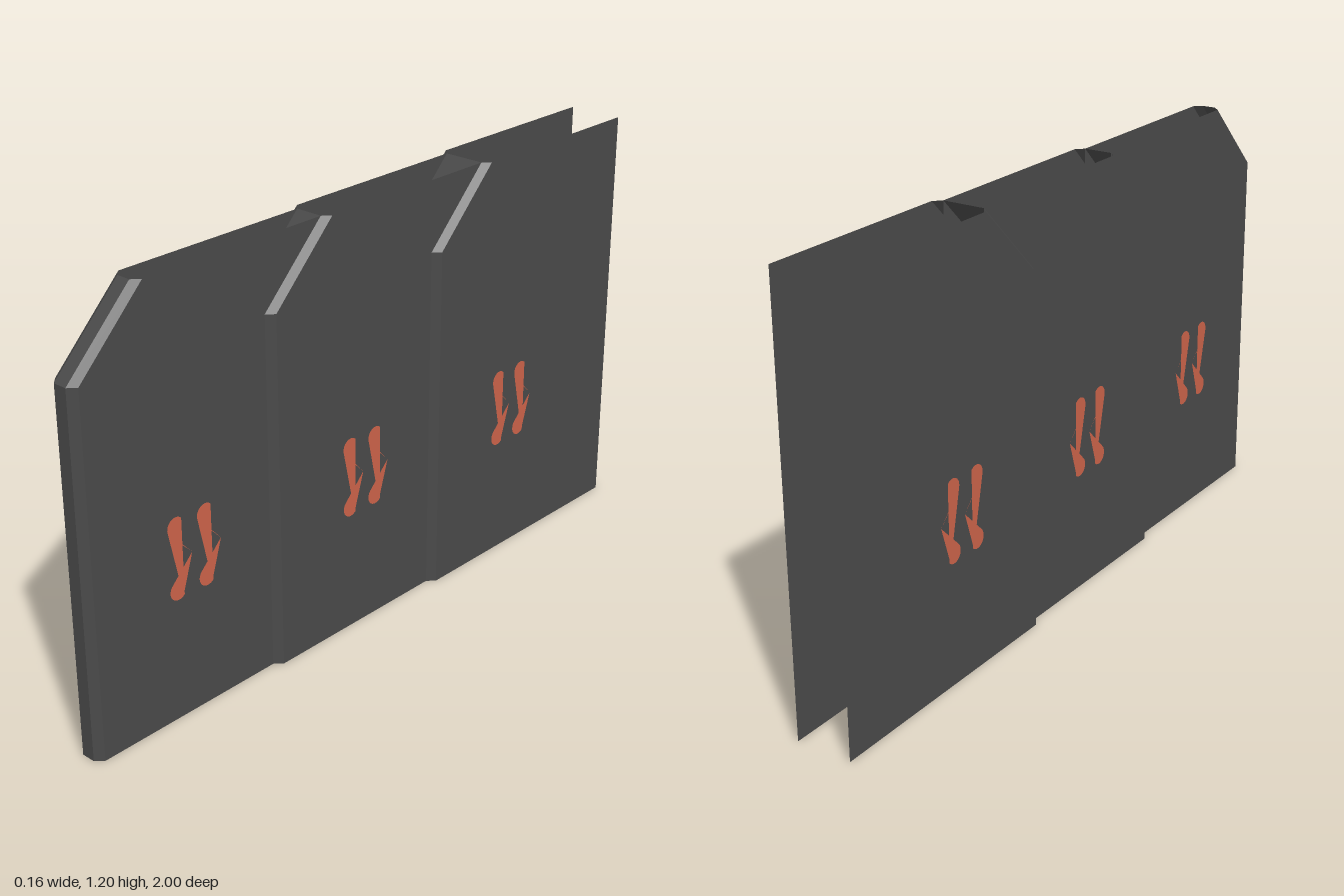
import * as THREE from 'three';

const darkGrey = new THREE.MeshStandardMaterial({ color: 0x4a4a4a, side: THREE.DoubleSide });
darkGrey.name = 'dark grey';
const orange = new THREE.MeshStandardMaterial({ color: 0xcc634a, side: THREE.DoubleSide });
orange.name = 'orange';

const LENGTH = 0.8, BEVEL = 0.02;

// Open sleeve: two side walls, bevelled front wall, sloping back above y = 1
function shellGeometry(half) {
  const section = [
    [-half, -LENGTH], [-half, -BEVEL], [-half + BEVEL, 0],
    [half - BEVEL, 0], [half, -BEVEL], [half, -LENGTH],
  ];
  const rows = [[0, 0], [1, 0], [1.2, -0.2]]; // height, setback of the front
  const positions = [], index = [];
  const n = section.length;
  rows.forEach(([y, shift], r) => section.forEach(([x, z], i) => {
    const isBack = i === 0 || i === n - 1;
    positions.push(x, y, isBack ? z : z + shift);
    if (r < rows.length - 1 && i < n - 1) {
      const a = r * n + i, b = a + 1, c = b + n, d = a + n;
      index.push(a, b, c, a, c, d);
    }
  }));
  const indexed = new THREE.BufferGeometry();
  indexed.setAttribute('position', new THREE.Float32BufferAttribute(positions, 3));
  indexed.setIndex(index);
  const geometry = indexed.toNonIndexed();
  geometry.computeVertexNormals();
  return geometry;
}

// Arrow stroke with a sharp tip and rounded arm ends, lying in the side plane
function chevronGeometry(tip) {
  const r = 0.027, arm = 0.088, k = r * Math.SQRT2, q = Math.PI / 4;
  const shape = new THREE.Shape();
  shape.moveTo(tip, 0);
  shape.absarc(tip - k - arm, arm, r, q, 5 * q, false);
  shape.lineTo(tip - 2 * k, 0);
  shape.absarc(tip - k - arm, -arm, r, 3 * q, 7 * q, false);
  shape.closePath();
  return new THREE.ShapeGeometry(shape, 8).rotateY(Math.PI / 2);
}

export function createModel() {
  const model = new THREE.Group();
  model.name = 'telescopicPanel';

  // Three nested sections, each wider than the one before it
  [[1, 0.04, 'front'], [0.4, 0.06, 'middle'], [-0.2, 0.08, 'rear']].forEach(([z, half, label]) => {
    const section = new THREE.Group();
    section.name = `${label}Section`;
    section.position.z = z;

    const shell = new THREE.Mesh(shellGeometry(half), darkGrey);
    shell.name = `${label}Shell`;
    section.add(shell);

    // Double arrows on both sides, pointing to the rear
    for (const side of [-1, 1]) {
      for (const tip of [0.407, 0.504]) {
        const arrow = new THREE.Mesh(chevronGeometry(tip), orange);
        arrow.name = side > 0 ? 'leftArrow' : 'rightArrow';
        arrow.position.set(side * (half + 0.002), 0.456, 0);
        if (side < 0) {
          // flip the plate's facing so it looks outward
          arrow.geometry.scale(-1, 1, 1);
          const idx = arrow.geometry.index;
          for (let i = 0; i < idx.count; i += 3) {
            const a = idx.getX(i);
            idx.setX(i, idx.getX(i + 1));
            idx.setX(i + 1, a);
          }
          arrow.geometry.computeVertexNormals();
        }
        section.add(arrow);
      }
    }
    model.add(section);
  });
  return model;
}
